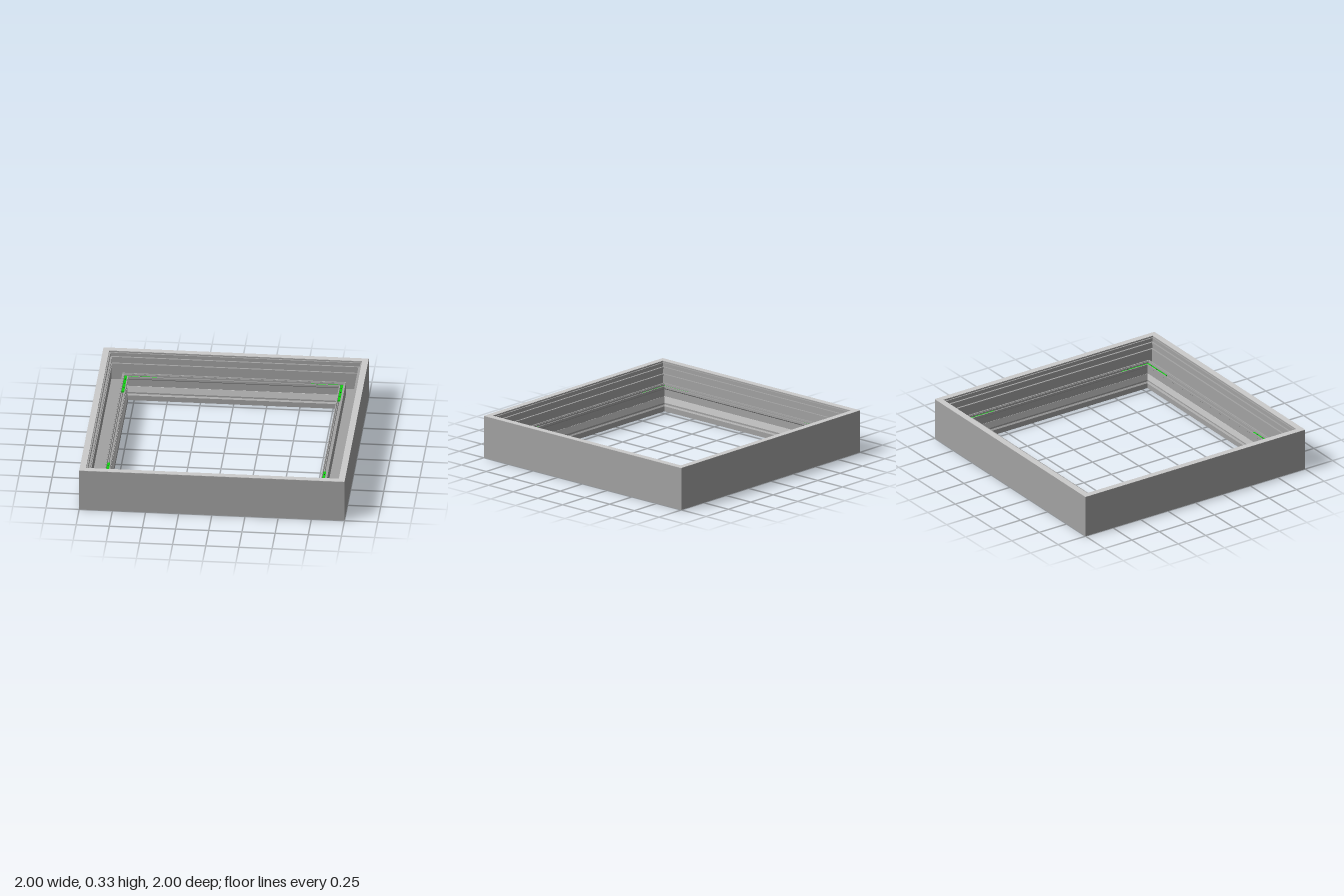
import * as THREE from 'three';

// Square ring: a cross-section [distance from centre, height] turned in four mitred steps
function squareRing(name, profile, material) {
  const points = [...profile, profile[0]].map(([r, y]) => new THREE.Vector2(r * Math.SQRT2, y));
  const geometry = new THREE.LatheGeometry(points, 4, Math.PI / 4).toNonIndexed();
  geometry.computeVertexNormals();
  const mesh = new THREE.Mesh(geometry, material);
  mesh.name = name;
  return mesh;
}

export function createModel() {
  const group = new THREE.Group();
  group.name = 'squareFrame';
  const light = new THREE.MeshStandardMaterial({ color: 0xcccccc, flatShading: true });
  const grey = new THREE.MeshStandardMaterial({ color: 0xa2a2a2, flatShading: true });
  const green = new THREE.MeshStandardMaterial({ color: 0x10d010, flatShading: true });
  const dark = new THREE.MeshStandardMaterial({ color: 0x303030 });

  // Extruded frame: outer wall with ridges, channel, low inner wall
  group.add(squareRing('frame', [
    [1, 0], [1, 0.327],
    [0.952, 0.327], [0.952, 0.318], [0.942, 0.318], [0.942, 0.29], // stepped rim
    [0.928, 0.29], [0.928, 0.275], [0.942, 0.275], [0.942, 0.235], // upper ridge
    [0.928, 0.235], [0.928, 0.22], [0.935, 0.22], [0.935, 0.1],    // lower ridge
    [0.842, 0.1], [0.842, 0.205], [0.832, 0.205],                  // channel floor and lip
    [0.832, 0.2], [0.826, 0.2], [0.826, 0.175], [0.818, 0.175],    // bracket slot with groove
    [0.818, 0.15], [0.81, 0.15], [0.81, 0.175],
    [0.803, 0.175], [0.803, 0.197], [0.795, 0.197],
    [0.795, 0.18], [0.806, 0.17], [0.806, 0.05],                   // opening wall
    [0.795, 0.04], [0.795, 0],
  ], grey));

  // Pale cap on the rim and pale strip round the opening
  group.add(squareRing('rimCap', [[1, 0.327], [1, 0.33], [0.953, 0.33], [0.953, 0.327]], light));
  group.add(squareRing('openingStrip', [[0.81, 0.065], [0.81, 0.115], [0.804, 0.115], [0.801, 0.065]], light));

  // Green angle brackets with screws in the four corners of the slot
  const arm = 0.245, outer = 0.825, width = 0.021, height = 0.014;
  for (let i = 0; i < 4; i++) {
    const corner = new THREE.Group();
    corner.name = 'cornerBracket';
    for (const along of ['x', 'z']) {
      const across = along === 'x' ? 'z' : 'x';
      const size = { [along]: arm, [across]: width };
      const bar = new THREE.Mesh(new THREE.BoxGeometry(size.x, height, size.z), green);
      bar.name = 'bracketArm';
      bar.position.y = 0.175 + height / 2;
      bar.position[along] = outer - arm / 2;
      bar.position[across] = outer - width / 2;
      corner.add(bar);
      for (const d of [0.63, 0.7, 0.77]) {
        const screw = new THREE.Mesh(new THREE.CylinderGeometry(0.005, 0.005, 0.002, 12), dark);
        screw.name = 'screw';
        screw.position.y = 0.1895;
        screw.position[along] = d;
        screw.position[across] = outer - width / 2;
        corner.add(screw);
      }
    }
    corner.rotation.y = i * Math.PI / 2;
    group.add(corner);
  }
  return group;
}
